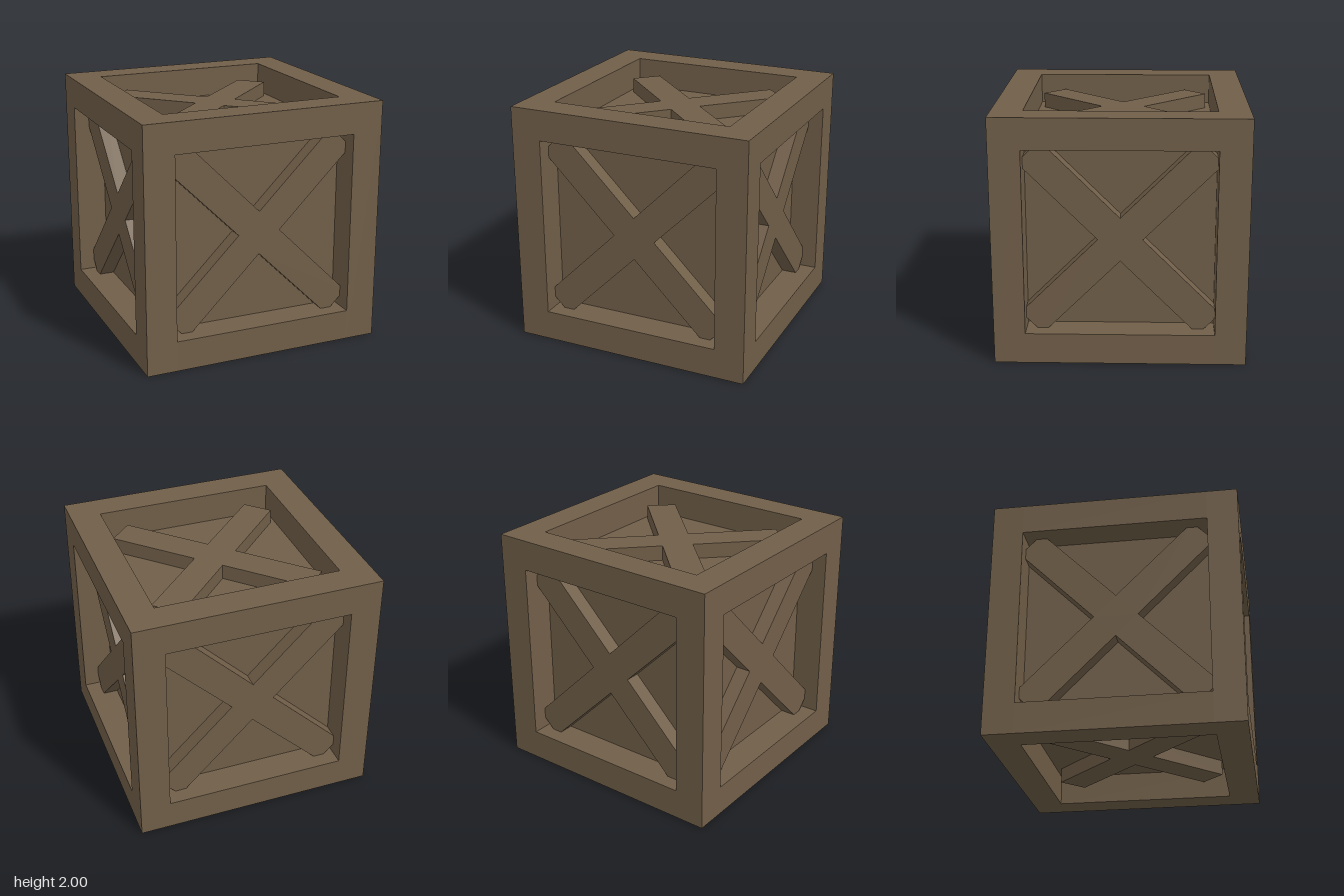
import * as THREE from 'three';

const BEAM = 0.25;            // frame beam thickness
const INNER = 2 - 2 * BEAM;   // clear opening between beams
const BRACE_DEPTH = 0.125;
const BRACE_WIDTH = 0.25;

// Plus-shaped outline turned 45 degrees, extruded into one joined X brace
function braceGeometry(halfLength) {
  const w = BRACE_WIDTH / 2;
  const points = [];
  for (let i = 0; i < 4; i++) {
    const angle = Math.PI / 4 + i * Math.PI / 2;
    const centre = new THREE.Vector2();
    for (const [x, y] of [[halfLength, -w], [halfLength, w], [w, w]]) {
      points.push(new THREE.Vector2(x, y).rotateAround(centre, angle));
    }
  }
  return new THREE.ExtrudeGeometry(new THREE.Shape(points), {
    depth: BRACE_DEPTH, bevelEnabled: false,
  });
}

export function createModel() {
  const wood = new THREE.MeshStandardMaterial({ color: 0x705e48 });
  wood.name = 'brown wood';

  const crate = new THREE.Group();
  crate.name = 'crate';
  const add = (name, geometry, x = 0, y = 0, z = 0) => {
    const mesh = new THREE.Mesh(geometry, wood);
    mesh.name = name;
    mesh.position.set(x, y, z);
    crate.add(mesh);
    return mesh;
  };

  // Recessed panels, formed by the closed inner box
  add('innerPanels', new THREE.BoxGeometry(INNER, INNER, INNER), 0, 1, 0);

  // Outer frame: full-height corner posts with rails fitted between them
  const post = new THREE.BoxGeometry(BEAM, 2, BEAM);
  const railX = new THREE.BoxGeometry(INNER, BEAM, BEAM);
  const railZ = new THREE.BoxGeometry(BEAM, BEAM, INNER);
  const c = 1 - BEAM / 2;
  for (const a of [-c, c]) {
    for (const b of [-c, c]) {
      add('cornerPost', post, a, 1, b);
      add('crossRail', railX, 0, 1 + a, b);
      add('sideRail', railZ, a, 1 + b, 0);
    }
  }

  // X braces on the four sides, their ends let into the frame corners
  const sideBrace = braceGeometry(1);
  ['front', 'left', 'back', 'right'].forEach((side, i) => {
    const angle = i * Math.PI / 2;
    const d = INNER / 2;
    add(side + 'Brace', sideBrace, Math.sin(angle) * d, 1, Math.cos(angle) * d).rotation.y = angle;
  });

  // Shorter X braces on the top and bottom
  const endBrace = braceGeometry(0.875);
  add('topBrace', endBrace, 0, 1 + INNER / 2, 0).rotation.x = -Math.PI / 2;
  add('bottomBrace', endBrace, 0, 1 - INNER / 2, 0).rotation.x = Math.PI / 2;

  return crate;
}
